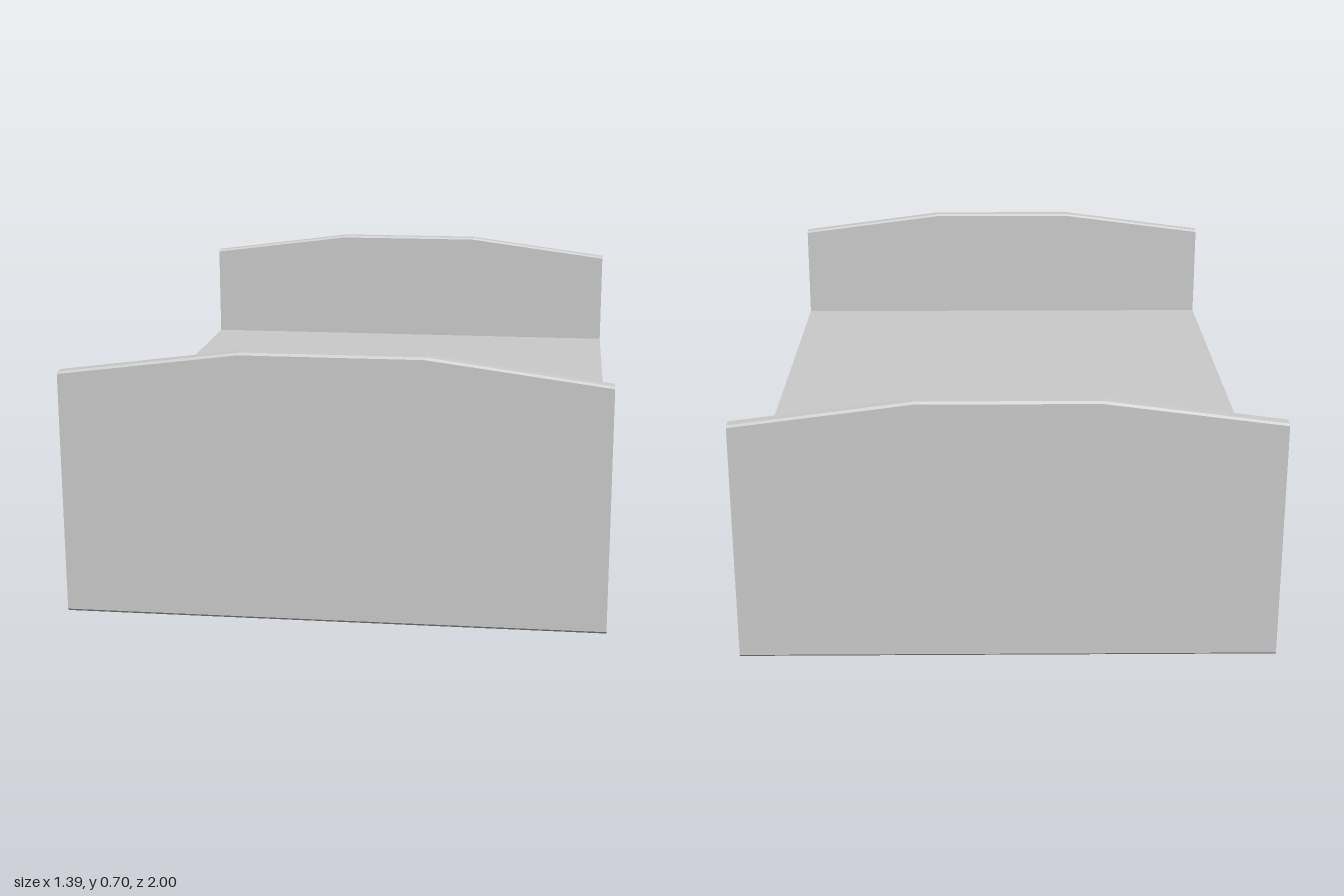
import * as THREE from 'three';

const HALF_W = 0.695;   // half width of the bed
const PANEL_T = 0.04;   // thickness of the end panels
const BEVEL = 0.006;

const material = new THREE.MeshStandardMaterial({ color: 0xcccccc });

// Upright end panel with an arched, three-segment top and chamfered top and bottom edges
function endPanel(name, z) {
  const b = BEVEL;
  const shape = new THREE.Shape([
    [-HALF_W + b, b], [HALF_W - b, b], [HALF_W - b, 0.64 - b],
    [0.232, 0.70 - b], [-0.232, 0.70 - b], [-HALF_W + b, 0.64 - b],
  ].map(([x, y]) => new THREE.Vector2(x, y)));
  const geometry = new THREE.ExtrudeGeometry(shape, {
    depth: PANEL_T - 2 * b,
    bevelEnabled: true, bevelThickness: b, bevelSize: b, bevelSegments: 1,
  });
  geometry.translate(0, 0, -PANEL_T / 2 + b);

  // Square off the side ends so they sit flush with the base
  const p = geometry.attributes.position;
  for (let i = 0; i < p.count; i++) {
    const x = p.getX(i);
    if (Math.abs(x) > HALF_W - 2 * b) p.setX(i, Math.sign(x) * HALF_W);
  }
  geometry.computeVertexNormals();

  const mesh = new THREE.Mesh(geometry, material);
  mesh.name = name;
  mesh.position.z = z;
  return mesh;
}

export function createModel() {
  const bed = new THREE.Group();
  bed.name = 'bed';

  // Flat base spanning between the two end panels
  const base = new THREE.Mesh(
    new THREE.BoxGeometry(2 * HALF_W, 0.13, 2 - 2 * PANEL_T), material);
  base.name = 'bedBase';
  base.position.y = 0.277;

  const offset = 1 - PANEL_T / 2;
  bed.add(base, endPanel('footboard', offset), endPanel('headboard', -offset));
  return bed;
}
